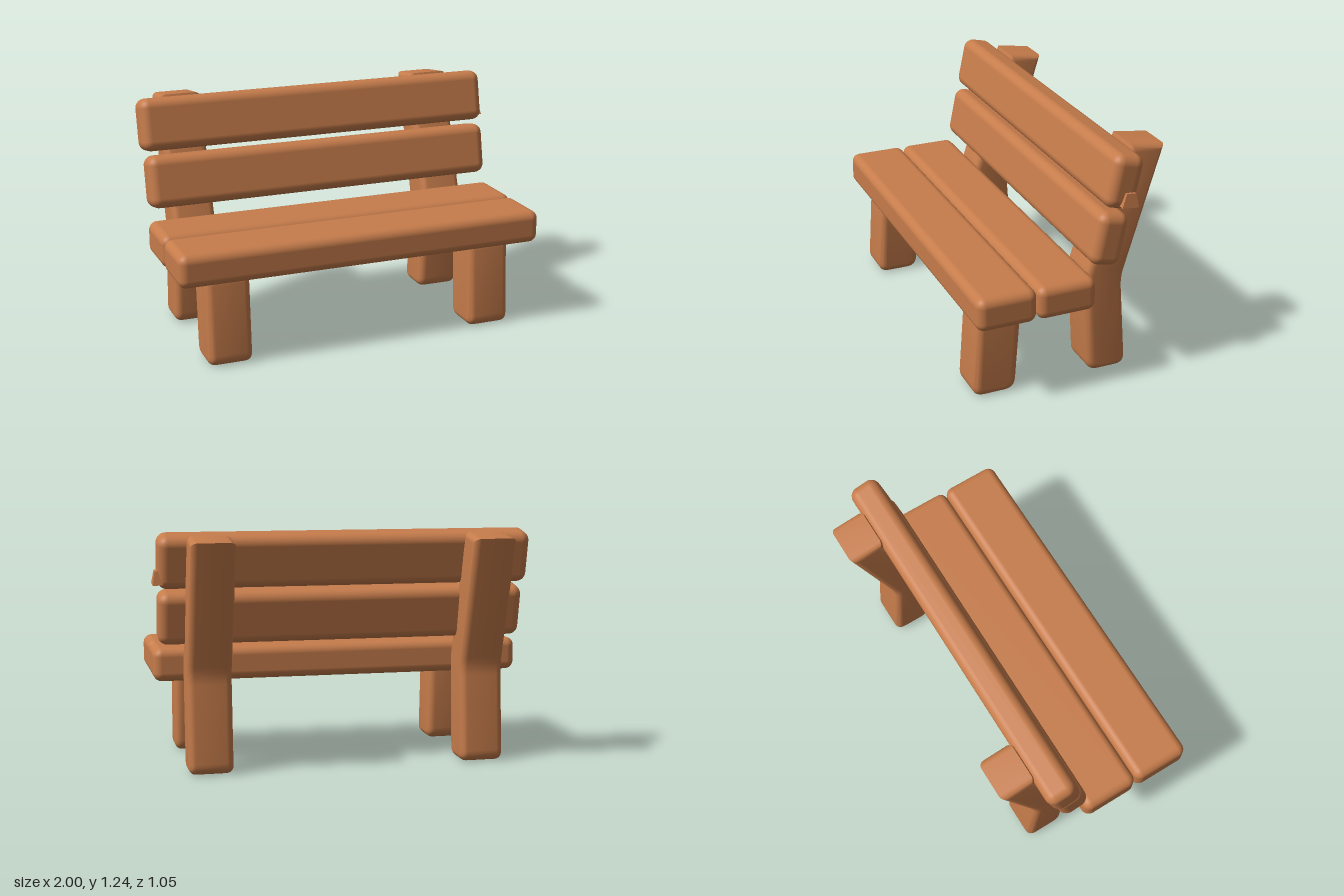
import * as THREE from 'three';
import { toCreasedNormals } from 'three/addons/utils/BufferGeometryUtils.js';
import { RoundedBoxGeometry } from 'three/addons/geometries/RoundedBoxGeometry.js';

// Side outline from [z, y, cornerCut] points; a cut of 0 keeps the corner sharp
function outline(points) {
  const shape = new THREE.Shape();
  const n = points.length;
  points.forEach(([z, y, cut], i) => {
    const corner = new THREE.Vector2(z, y);
    const towards = (p) => new THREE.Vector2(p[0], p[1]).sub(corner).setLength(cut).add(corner);
    const a = cut ? towards(points[(i + n - 1) % n]) : corner;
    if (i === 0) shape.moveTo(a.x, a.y);
    else shape.lineTo(a.x, a.y);
    if (cut) {
      const b = towards(points[(i + 1) % n]);
      shape.quadraticCurveTo(corner.x, corner.y, b.x, b.y);
    }
  });
  shape.closePath();
  return shape;
}

// Soft-edged post: the side outline extruded across x
function postGeometry(points, width) {
  const bevel = 0.035;
  const geo = new THREE.ExtrudeGeometry(outline(points), {
    depth: width - 2 * bevel, bevelThickness: bevel, bevelSize: bevel,
    bevelOffset: -bevel, bevelSegments: 5, curveSegments: 6,
  });
  geo.translate(0, 0, -(width / 2 - bevel));
  geo.rotateY(-Math.PI / 2);
  return toCreasedNormals(geo, 0.7);
}

export function createModel() {
  const bench = new THREE.Group();
  bench.name = 'bench';
  const wood = new THREE.MeshStandardMaterial({ color: 0xc67c4b });
  wood.name = 'warm wood';

  const add = (name, geo, x, y, z, tilt = 0) => {
    const mesh = new THREE.Mesh(geo, wood);
    mesh.name = name;
    mesh.position.set(x, y, z);
    mesh.rotation.x = tilt;
    bench.add(mesh);
    return mesh;
  };
  const plank = (name, size, radius, ...place) =>
    add(name, new RoundedBoxGeometry(...size, 5, radius), ...place);

  // Seat planks
  plank('frontSeatPlank', [1.98, 0.175, 0.313], 0.045, -0.006, 0.537, 0.367);
  plank('rearSeatPlank', [1.98, 0.175, 0.313], 0.045, -0.006, 0.537, 0.052);

  // Leaning backrest planks
  plank('lowerBackPlank', [1.94, 0.275, 0.163], 0.05, 0, 0.803, -0.178, -0.2);
  plank('upperBackPlank', [1.96, 0.275, 0.163], 0.05, -0.005, 1.096, -0.245, -0.21);

  // Small splinter on the left end of the upper plank
  const splinter = new THREE.CylinderGeometry(0.025, 0.045, 0.07, 4);
  splinter.rotateY(Math.PI / 4);
  splinter.scale(0.8, 1, 1.4);
  add('splinter', toCreasedNormals(splinter, 0.5), 0.974, 1.015, -0.26, -0.1);

  // Legs: short ones in front, bent posts behind that carry the backrest
  const frontLeg = postGeometry([
    [0.49, 0, 0.06], [0.458, 0.48, 0.05], [0.227, 0.48, 0.05], [0.26, 0, 0.06],
  ].reverse(), 0.23);
  const rearPost = postGeometry([
    [-0.143, 0, 0.06], [-0.36, 0, 0.06], [-0.32, 0.51, 0.05],
    [-0.527, 1.2, 0], [-0.345, 1.225, 0], [-0.112, 0.55, 0.05],
  ].reverse(), 0.23);
  for (const [side, x] of [['left', 0.72], ['right', -0.73]]) {
    add(side + 'FrontLeg', frontLeg, x, 0, 0);
    add(side + 'RearPost', rearPost, x, 0, 0);
  }
  return bench;
}
